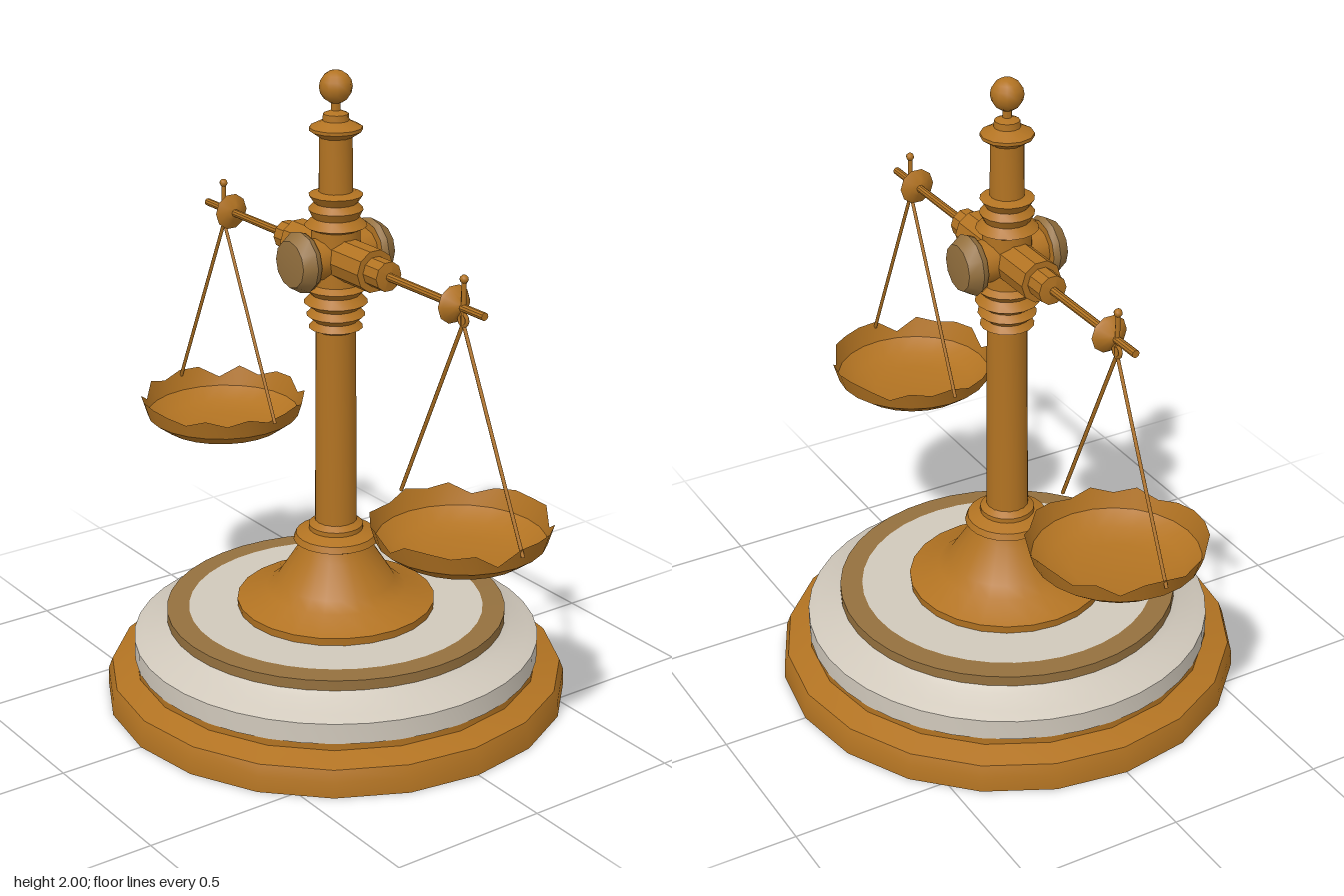
import * as THREE from 'three';
import { toCreasedNormals } from 'three/addons/utils/BufferGeometryUtils.js';

export function createModel() {
  const model = new THREE.Group();
  model.name = 'balanceScale';

  const mat = (name, color, side = THREE.FrontSide) => {
    const m = new THREE.MeshStandardMaterial({ color, side });
    m.name = name;
    return m;
  };
  const brass = mat('brass', 0xb27322, THREE.DoubleSide);
  const marble = mat('pale stone', 0xd0c8bb);
  const dull = mat('tarnished brass', 0x94703e);

  const add = (parent, name, geometry, material) => {
    const mesh = new THREE.Mesh(geometry, material);
    mesh.name = name;
    parent.add(mesh);
    return mesh;
  };
  // Turned part with crisp edges; profile is [radius, height] from bottom to top
  const turned = (points, sides) => toCreasedNormals(
    new THREE.LatheGeometry(points.map(p => new THREE.Vector2(...p)), sides), 0.6);
  // Straight round bar between two points
  const bar = (parent, name, a, b, radius) => {
    const path = new THREE.LineCurve3(new THREE.Vector3(...a), new THREE.Vector3(...b));
    return add(parent, name, new THREE.TubeGeometry(path, 1, radius, 6, false), brass);
  };

  // Stepped round base
  const base = new THREE.Group();
  base.name = 'base';
  model.add(base);
  add(base, 'plinth', turned([[0, 0], [0.73, 0], [0.728, 0.05], [0.715, 0.085], [0.64, 0.108], [0.64, 0.13]], 20), brass);
  add(base, 'stoneDrum', turned([[0.64, 0.13], [0.64, 0.195], [0.61, 0.21], [0.555, 0.235], [0.535, 0.25]], 40), marble);
  add(base, 'baseRing', turned([[0.535, 0.25], [0.535, 0.283], [0.465, 0.285]], 40), dull);
  add(base, 'stoneTop', turned([[0.465, 0.285], [0.29, 0.285]], 40), marble);

  // Flared foot, column, collars and cap
  add(model, 'foot', turned([[0.31, 0.285], [0.312, 0.31], [0.22, 0.345], [0.185, 0.375], [0.125, 0.47],
    [0.112, 0.50], [0.133, 0.51], [0.125, 0.53], [0.085, 0.545], [0.085, 0.56], [0.065, 0.575]], 24), brass);
  add(model, 'column', turned([[0.066, 0.56], [0.062, 1.20], [0.083, 1.21], [0.066, 1.23], [0.09, 1.25],
    [0.07, 1.27], [0.098, 1.29], [0.075, 1.315], [0.095, 1.335], [0.075, 1.35], [0.075, 1.52], [0.095, 1.53],
    [0.07, 1.555], [0.083, 1.58], [0.065, 1.60], [0.082, 1.625], [0.052, 1.635], [0.05, 1.81]], 16), brass);
  add(model, 'cap', turned([[0.05, 1.80], [0.08, 1.82], [0.08, 1.83], [0.04, 1.85], [0.038, 1.87],
    [0.014, 1.88], [0.014, 1.91]], 12), brass);
  add(model, 'finialBall', new THREE.SphereGeometry(0.05, 12, 8), brass).position.y = 1.95;

  // Hub with a round boss on front and back
  const beamY = 1.435;
  for (const s of [1, -1]) {
    const boss = new THREE.Group();
    boss.name = s > 0 ? 'frontBoss' : 'backBoss';
    boss.position.y = beamY;
    boss.rotation.x = s * Math.PI / 2;
    model.add(boss);
    add(boss, 'bossNeck', turned([[0.065, 0], [0.065, 0.11], [0.088, 0.11]], 12), brass);
    add(boss, 'bossRim', turned([[0.085, 0.11], [0.095, 0.13]], 12), dull);
    add(boss, 'bossFace', turned([[0.095, 0.13], [0.072, 0.168], [0, 0.176]], 12), dull);
  }

  // Shallow pan whose torn rim dips by an uneven pattern
  const pan = (seed) => {
    const g = new THREE.LatheGeometry([[0, 0.682], [0.13, 0.684], [0.2, 0.698], [0.25, 0.735], [0.27, 0.80]]
      .map(p => new THREE.Vector2(...p)), 24);
    const p = g.attributes.position;
    for (let i = 4; i < p.count; i += 5) {
      const k = Math.floor(i / 5) % 24;
      const wave = Math.sin(k * 2.6 + seed) + 0.6 * Math.sin(k * 1.3 + seed * 2);
      const dip = Math.max(0, wave) * 0.03;
      const shrink = 1 - dip * 1.1;
      p.setXYZ(i, p.getX(i) * shrink, 0.80 - dip, p.getZ(i) * shrink);
    }
    return toCreasedNormals(g, 0.6);
  };

  // Beam arms with hanging pans
  for (const s of [1, -1]) {
    const arm = new THREE.Group();
    arm.name = s > 0 ? 'leftArm' : 'rightArm';
    model.add(arm);
    const beam = add(arm, 'beam', turned([[0.066, 0], [0.066, 0.2], [0.046, 0.2], [0.046, 0.265], [0.013, 0.27],
      [0.012, 0.55], [0.028, 0.555], [0.058, 0.572], [0.05, 0.582], [0.02, 0.605], [0.012, 0.61],
      [0.012, 0.71], [0, 0.71]], 10), brass);
    beam.position.y = beamY;
    beam.rotation.z = -s * Math.PI / 2;

    const hx = s * 0.615;
    bar(arm, 'pin', [hx, 1.38, 0], [hx, 1.52, 0], 0.008);
    add(arm, 'pinHead', new THREE.SphereGeometry(0.013, 8, 6), brass).position.set(hx, 1.52, 0);
    add(arm, 'hook', new THREE.TorusGeometry(0.018, 0.006, 6, 10), brass).position.set(hx, 1.4, 0);
    bar(arm, 'outerRod', [hx, 1.39, 0], [s * 0.903, 0.775, 0], 0.006);
    bar(arm, 'innerRod', [hx, 1.39, 0], [s * 0.335, 0.785, 0], 0.006);
    add(arm, 'pan', pan(s > 0 ? 1 : 3.4), brass).position.set(s * 0.632, 0, 0.005);
  }
  return model;
}
